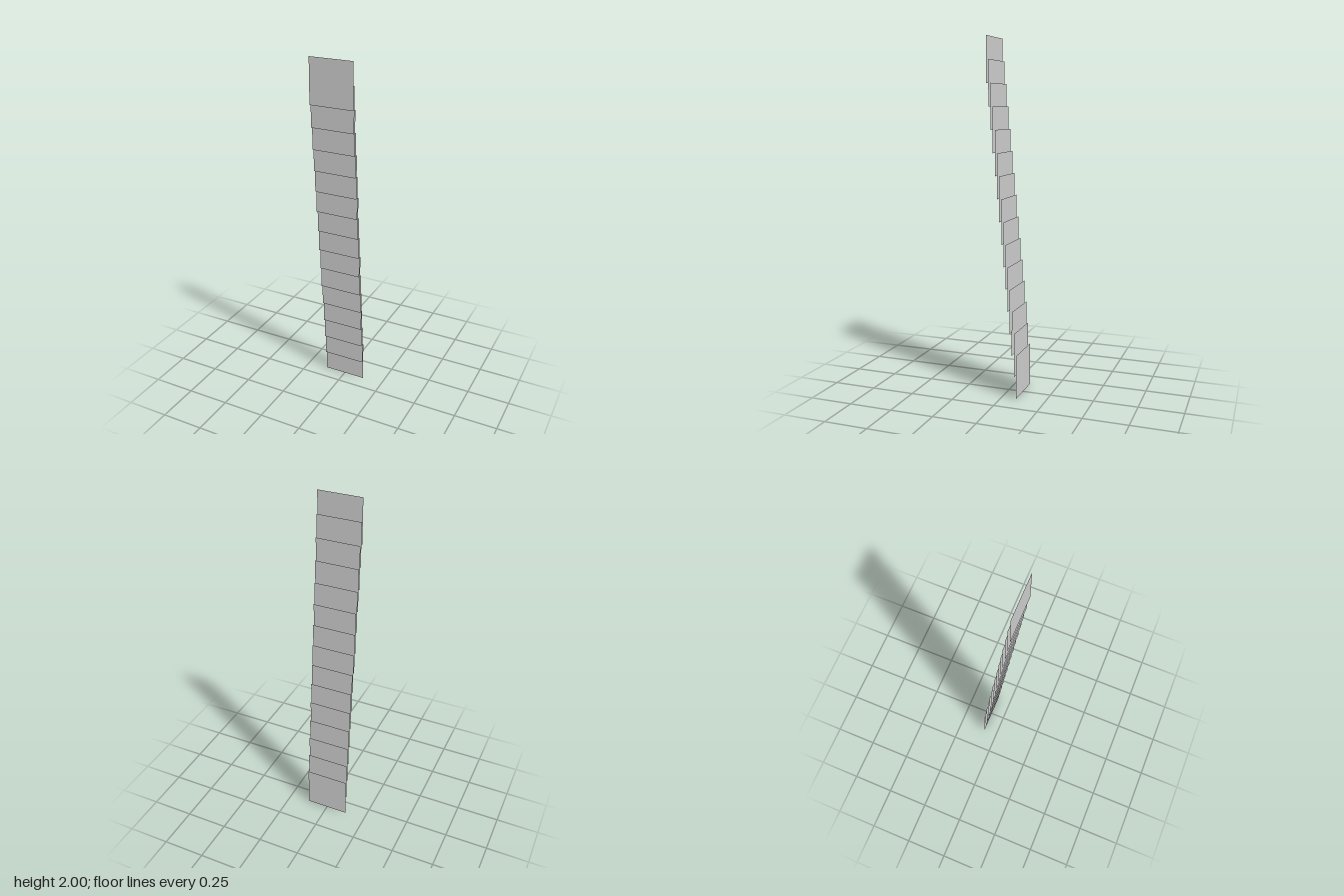
import * as THREE from 'three';

export function createModel() {
  const group = new THREE.Group();
  group.name = 'steppedPanels';

  const count = 15, size = 0.25, rise = 0.125, step = 0.0122;
  const material = new THREE.MeshStandardMaterial({ color: 0xcccccc, side: THREE.DoubleSide });
  const geometry = new THREE.PlaneGeometry(size, size);

  // Thin square panels, each half a panel higher and slightly further forward
  for (let i = 0; i < count; i++) {
    const panel = new THREE.Mesh(geometry, material);
    panel.name = `panel${i + 1}`;
    panel.position.set(0, size / 2 + i * rise, (i - (count - 1) / 2) * step);
    group.add(panel);
  }
  return group;
}
